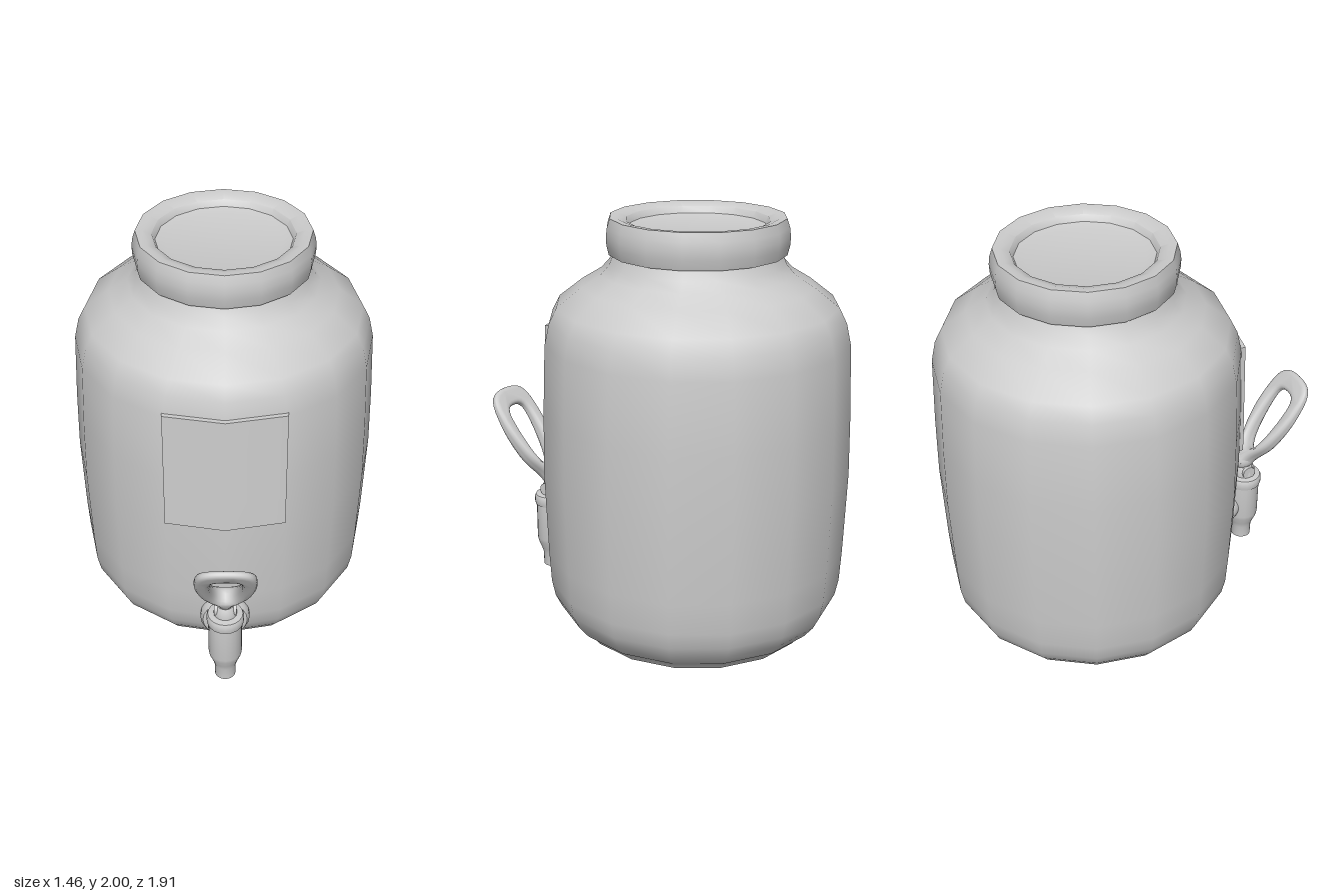
import * as THREE from 'three';
import { toCreasedNormals } from 'three/addons/utils/BufferGeometryUtils.js';

const material = new THREE.MeshStandardMaterial({ color: 0xcccccc });
const JAR_Z = -0.23; // jar axis
const TAP_Z = 0.65; // tap axis
const V = (x, y) => new THREE.Vector2(x, y);

function part(name, geometry, crease = 0.7) {
  const mesh = new THREE.Mesh(toCreasedNormals(geometry, crease), material);
  mesh.name = name;
  return mesh;
}

// Turned part from [radius, height] pairs, listed from the bottom up
function turned(name, profile, sides, crease) {
  return part(name, new THREE.LatheGeometry(profile.map(([r, y]) => V(r, y)), sides), crease);
}

// Curved label plate that hugs the two front facets of the jar
function createLabel() {
  const geometry = new THREE.BoxGeometry(0.56, 0.6, 0.03, 2, 4, 1);
  const p = geometry.attributes.position;
  for (let i = 0; i < p.count; i++) {
    const y = p.getY(i) + 1.15;
    const radius = 0.735 - 0.02 * Math.max(0, (y - 0.85) / 0.6);
    const bend = Math.abs(p.getX(i)) * Math.tan(Math.PI / 16);
    p.setXYZ(i, p.getX(i), y, JAR_Z + radius - bend + p.getZ(i));
  }
  geometry.computeVertexNormals();
  return part('label', geometry);
}

// Open loop handle, thick at the pivot and thin at the tip
function createLever() {
  const outline = new THREE.Shape();
  outline.moveTo(-0.03, -0.01);
  outline.lineTo(0.03, -0.01);
  outline.bezierCurveTo(0.03, 0.06, 0.09, 0.09, 0.115, 0.18);
  outline.bezierCurveTo(0.14, 0.27, 0.145, 0.33, 0.14, 0.4);
  outline.bezierCurveTo(0.135, 0.51, 0.1, 0.54, 0, 0.54);
  outline.bezierCurveTo(-0.1, 0.54, -0.135, 0.51, -0.14, 0.4);
  outline.bezierCurveTo(-0.145, 0.33, -0.14, 0.27, -0.115, 0.18);
  outline.bezierCurveTo(-0.09, 0.09, -0.03, 0.06, -0.03, -0.01);

  const hole = new THREE.Path();
  hole.moveTo(0, 0.085);
  hole.bezierCurveTo(-0.05, 0.085, -0.065, 0.17, -0.072, 0.29);
  hole.bezierCurveTo(-0.075, 0.41, -0.07, 0.44, 0, 0.44);
  hole.bezierCurveTo(0.07, 0.44, 0.075, 0.41, 0.072, 0.29);
  hole.bezierCurveTo(0.065, 0.17, 0.05, 0.085, 0, 0.085);
  outline.holes.push(hole);

  const geometry = new THREE.ExtrudeGeometry(outline, {
    depth: 0.02, bevelThickness: 0.04, bevelSize: 0.022, bevelOffset: -0.022,
    bevelSegments: 3, curveSegments: 8,
  });
  geometry.translate(0, 0, -0.01);
  const p = geometry.attributes.position;
  for (let i = 0; i < p.count; i++) {
    const t = THREE.MathUtils.clamp(p.getY(i) / 0.54, 0, 1);
    p.setZ(i, p.getZ(i) * (1 - 0.66 * t));
  }
  const lever = part('tapLever', geometry, 0.9);
  lever.position.set(0, 0.53, 0.64);
  lever.rotation.x = 0.6;
  return lever;
}

function createTap() {
  const tap = new THREE.Group();
  tap.name = 'tap';

  // Spout with an open bore
  const spout = turned('spout', [
    [0, 0.13], [0.037, 0.13], [0.037, 0.055], [0.05, 0.055], [0.051, 0.12],
    [0.06, 0.15], [0.076, 0.19], [0.08, 0.21], [0.08, 0.405],
  ], 20);
  const collar = turned('tapCollar', [
    [0.07, 0.395], [0.086, 0.4], [0.089, 0.415], [0.089, 0.44], [0.083, 0.453],
    [0.055, 0.457], [0.053, 0.49], [0.04, 0.512], [0, 0.52],
  ], 20);
  spout.position.z = collar.position.z = TAP_Z;

  // Stepped fitting running from the jar wall to the spout
  const fitting = turned('wallFitting', [
    [0, 0], [0.12, 0], [0.12, 0.025], [0.108, 0.045], [0.085, 0.05],
    [0.083, 0.095], [0.065, 0.125], [0.045, 0.15], [0.045, 0.2],
  ], 20);
  fitting.rotation.x = Math.PI / 2;
  fitting.position.set(0, 0.265, 0.46);

  // Rounded heel where the lever pivots
  const heel = part('leverHeel', new THREE.SphereGeometry(1, 14, 10));
  heel.scale.set(0.037, 0.05, 0.052);
  heel.position.set(0, 0.54, 0.645);

  // Pivot clevis cheeks
  for (const side of [-1, 1]) {
    const cheek = part('pivotCheek', new THREE.CylinderGeometry(0.035, 0.035, 0.016, 14));
    cheek.rotation.z = Math.PI / 2;
    cheek.position.set(side * 0.045, 0.485, TAP_Z);
    tap.add(cheek);
  }
  tap.add(spout, collar, fitting, heel, createLever());
  return tap;
}

export function createModel() {
  const model = new THREE.Group();
  model.name = 'drinkDispenser';

  // Sixteen-sided jar body
  const jar = turned('jar', [
    [0, 0.005], [0.55, 0.005], [0.555, 0], [0.575, 0.03], [0.615, 0.055], [0.66, 0.11],
    [0.69, 0.17], [0.707, 0.25], [0.716, 0.4], [0.73, 0.8], [0.725, 1.1],
    [0.712, 1.43], [0.69, 1.53], [0.655, 1.6], [0.54, 1.69], [0.45, 1.745],
    [0.41, 1.79], [0.385, 1.85],
  ], 16, 0.8);

  // Lid with a shallow dished top
  const lid = turned('lid', [
    [0.3, 1.835], [0.41, 1.835], [0.421, 1.88], [0.423, 1.92], [0.418, 1.96],
    [0.405, 2], [0.37, 1.998], [0.33, 1.985], [0.315, 1.955], [0.27, 1.945], [0, 1.945],
  ], 16, 0.8);

  jar.position.z = lid.position.z = JAR_Z;
  model.add(jar, lid, createLabel(), createTap());
  return model;
}
